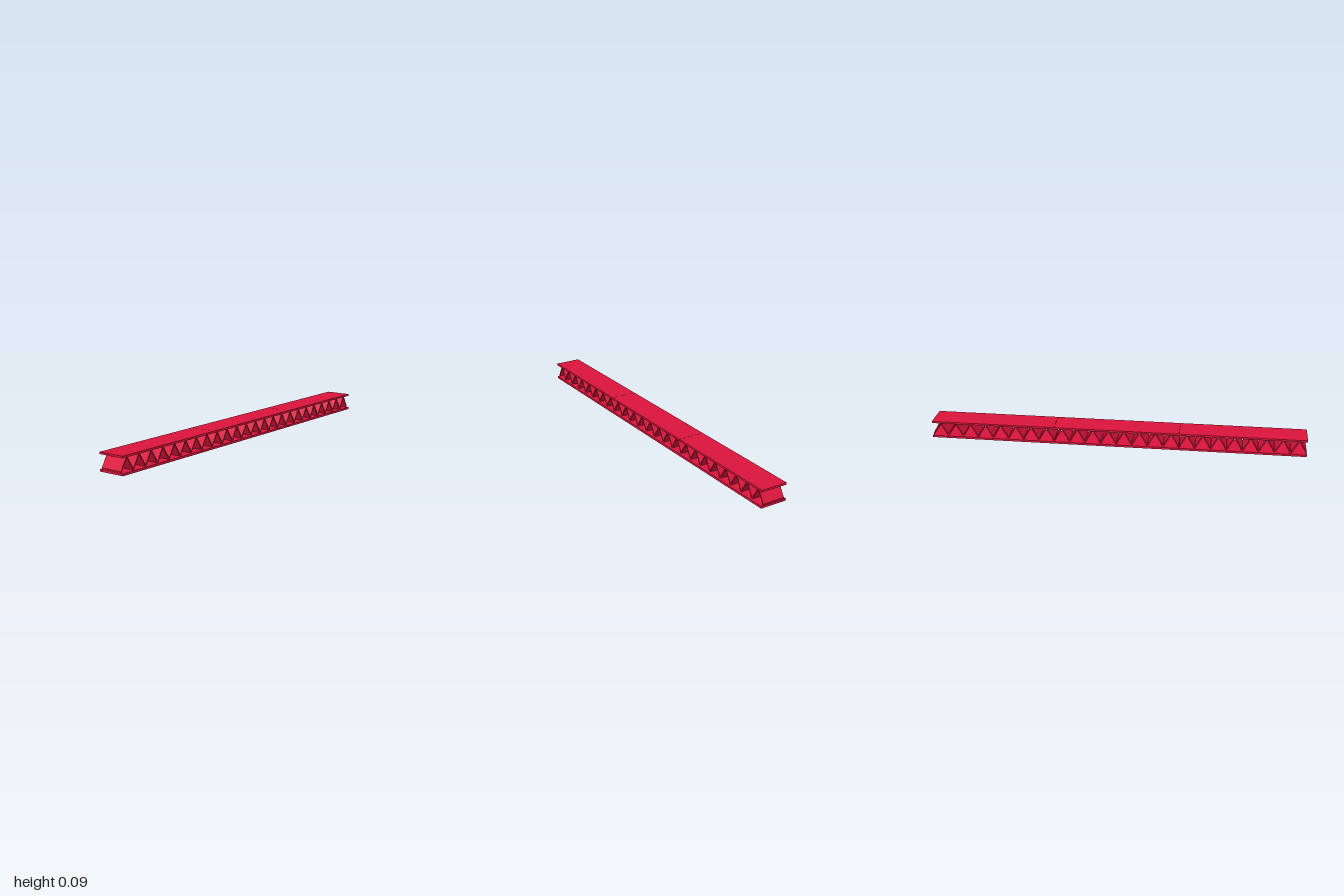
import * as THREE from 'three';

const SECTIONS = 3, WAVES = 8;            // sections along the beam, folds per section
const LENGTH = 2 / SECTIONS, GAP = 0.001; // hairline joint between sections
const FLANGE_DEPTH = 0.144, WEB_DEPTH = 0.12;
const BOTTOM = 0.011, TOP = 0.083, HEIGHT = 0.093;

const material = new THREE.MeshStandardMaterial({ color: 0xdc143c, flatShading: true });

function plate(name, y0, y1) {
  const mesh = new THREE.Mesh(new THREE.BoxGeometry(LENGTH - GAP, y1 - y0, FLANGE_DEPTH), material);
  mesh.name = name;
  mesh.position.y = (y0 + y1) / 2;
  return mesh;
}

// Zigzag sheet, folded between the two flanges
function corrugatedWeb() {
  const half = LENGTH / WAVES / 2, flat = 0.003, wall = 0.008;
  const lower = [], upper = [];
  for (let i = 0; i <= WAVES * 2; i++) {
    const x = -LENGTH / 2 + i * half;
    const crest = i % 2 === 1;
    // Small flats where the sheet meets a flange; outer wall is wider than the inner
    for (const s of [-1, 1]) {
      const px = (w) => THREE.MathUtils.clamp(x + s * w, -LENGTH / 2, LENGTH / 2);
      const y = crest ? TOP : BOTTOM;
      lower.push(new THREE.Vector2(px(crest ? 0.001 : flat), crest ? y - wall : y));
      upper.push(new THREE.Vector2(px(crest ? flat : 0.001), crest ? y : y + wall));
    }
  }
  // Drop the doubled points at both ends
  const trim = (p) => p.slice(1, -1);
  const shape = new THREE.Shape([...trim(lower), ...trim(upper).reverse()]);
  const geometry = new THREE.ExtrudeGeometry(shape, { depth: WEB_DEPTH, bevelEnabled: false });
  geometry.translate(0, 0, -WEB_DEPTH / 2);
  const mesh = new THREE.Mesh(geometry, material);
  mesh.name = 'corrugatedWeb';
  return mesh;
}

export function createModel() {
  const beam = new THREE.Group();
  beam.name = 'beam';
  for (let i = 0; i < SECTIONS; i++) {
    const section = new THREE.Group();
    section.name = `section${i + 1}`;
    section.add(plate('bottomFlange', 0, BOTTOM), plate('topFlange', TOP, HEIGHT), corrugatedWeb());
    section.position.x = (i - (SECTIONS - 1) / 2) * LENGTH;
    beam.add(section);
  }
  return beam;
}
